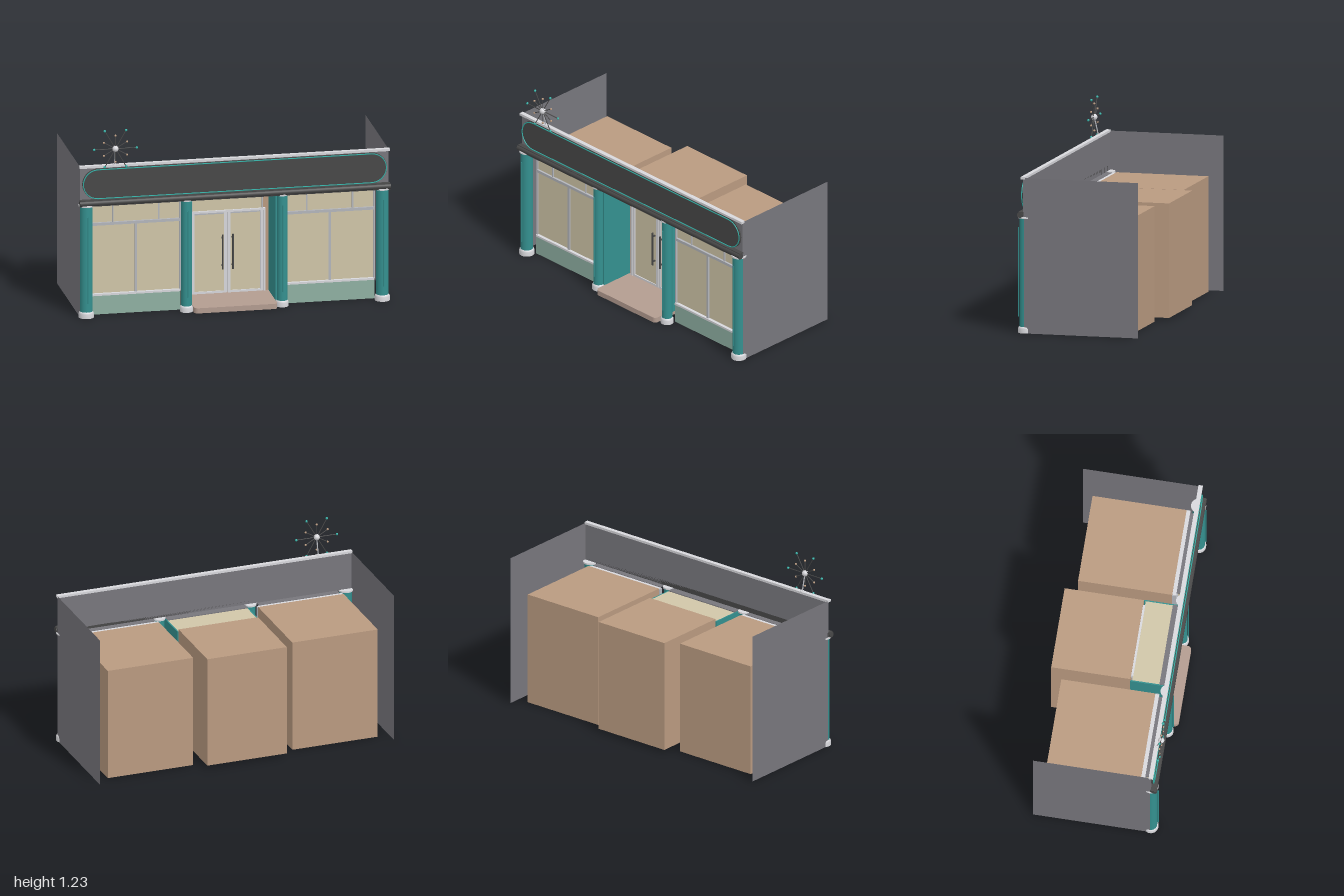
import * as THREE from 'three';

const mat = (name, color, side = THREE.FrontSide) => {
  const m = new THREE.MeshStandardMaterial({ color, side });
  m.name = name;
  return m;
};

export function createModel() {
  const gray = mat('wall gray', 0x77767c, THREE.DoubleSide);
  const dark = mat('sign charcoal', 0x484848);
  const teal = mat('column teal', 0x34908f);
  const green = mat('panel green', 0x8fb0a2);
  const cream = mat('glass cream', 0xd0c6a8);
  const brown = mat('room brown', 0xb99a80);
  const white = mat('trim white', 0xd8d8dc);
  const stone = mat('step stone', 0xb39c90);
  const neon = mat('neon teal', 0x35b0a6);
  const metal = mat('frame metal', 0xb4b6bc);

  const model = new THREE.Group();
  model.name = 'storefront';

  const add = (parent, name, geometry, material, x = 0, y = 0, z = 0) => {
    const mesh = new THREE.Mesh(geometry, material);
    mesh.name = name;
    mesh.position.set(x, y, z);
    parent.add(mesh);
    return mesh;
  };
  // Box given by its limits on each axis
  const box = (parent, name, material, x0, x1, y0, y1, z0, z1) =>
    add(parent, name, new THREE.BoxGeometry(x1 - x0, y1 - y0, z1 - z0), material,
      (x0 + x1) / 2, (y0 + y1) / 2, (z0 + z1) / 2);
  // Thin rod between two points
  const rod = (parent, name, material, a, b, r) => {
    const dir = b.clone().sub(a);
    const mesh = add(parent, name, new THREE.CylinderGeometry(r, r, dir.length(), 8), material);
    mesh.position.copy(a).add(b).multiplyScalar(0.5);
    mesh.quaternion.setFromUnitVectors(new THREE.Vector3(0, 1, 0), dir.normalize());
    return mesh;
  };
  const group = (name) => {
    const g = new THREE.Group();
    g.name = name;
    model.add(g);
    return g;
  };

  // Side walls, single sheets
  for (const s of [-1, 1]) {
    const wall = add(model, 'sideWall', new THREE.PlaneGeometry(0.745, 0.99), gray, s * 0.99, 0.495, -0.032);
    wall.rotation.y = s * Math.PI / 2;
  }

  // Interior rooms behind the shopfront
  for (const s of [-1, 1]) {
    box(model, 'sideRoom', brown, s * 0.622 - 0.288, s * 0.622 + 0.288, 0.004, 0.74, -0.33, 0.27);
  }
  box(model, 'centreRoom', brown, -0.268, 0.268, 0.02, 0.75, -0.405, 0.1);

  // Parapet, coping and roll moulding
  box(model, 'parapet', gray, -0.99, 0.99, 0.74, 0.985, 0.335, 0.345);
  box(model, 'coping', white, -0.995, 0.995, 0.982, 0.997, 0.332, 0.36);
  box(model, 'mouldingBack', dark, -0.99, 0.99, 0.735, 0.773, 0.335, 0.368);
  const roll = add(model, 'mouldingRoll', new THREE.CylinderGeometry(0.018, 0.018, 1.994, 20), dark, 0, 0.754, 0.367);
  roll.rotation.z = Math.PI / 2;
  for (const y of [0.738, 0.771]) box(model, 'mouldingLip', dark, -0.995, 0.995, y - 0.004, y + 0.004, 0.345, 0.375);

  // Stadium sign board with neon outline
  const signR = 0.1, signX = 0.877, signY = 0.875;
  const board = new THREE.Shape();
  board.moveTo(-signX, -signR);
  board.lineTo(signX, -signR);
  board.absarc(signX, 0, signR, -Math.PI / 2, Math.PI / 2);
  board.lineTo(-signX, signR);
  board.absarc(-signX, 0, signR, Math.PI / 2, Math.PI * 1.5);
  add(model, 'signBoard', new THREE.ExtrudeGeometry(board, { depth: 0.012, bevelEnabled: false, curveSegments: 24 }),
    dark, 0, signY, 0.342);
  const neonPath = new THREE.CurvePath();
  const nr = 0.095;
  const v = (x, y) => new THREE.Vector3(x, y, 0);
  const endArc = (s) => new THREE.CatmullRomCurve3(Array.from({ length: 13 }, (_, i) => {
    const a = s * (-Math.PI / 2 + i * Math.PI / 12);
    return s > 0 ? v(signX + nr * Math.cos(a), nr * Math.sin(a)) : v(-signX - nr * Math.cos(a), nr * Math.sin(a));
  }));
  neonPath.add(new THREE.LineCurve3(v(-signX, -nr), v(signX, -nr)));
  neonPath.add(endArc(1));
  neonPath.add(new THREE.LineCurve3(v(signX, nr), v(-signX, nr)));
  neonPath.add(endArc(-1));
  add(model, 'signNeon', new THREE.TubeGeometry(neonPath, 240, 0.0035, 6, true), neon, 0, signY, 0.36);

  // Columns with bases, caps and neon tubes
  for (const [x, r] of [[-0.95, 0.04], [-0.307, 0.033], [0.307, 0.033], [0.95, 0.04]]) {
    const col = group('column');
    col.position.set(x, 0, 0.34);
    add(col, 'columnShaft', new THREE.CylinderGeometry(r, r, 0.7, 32), teal, 0, 0.383, 0);
    const rb = r + 0.008;
    add(col, 'columnBase', new THREE.LatheGeometry(
      [[0, 0], [rb, 0], [rb, 0], [rb, 0.028], [rb - 0.004, 0.036], [r, 0.04]].map(p => new THREE.Vector2(...p)), 32), white);
    add(col, 'columnCap', new THREE.CylinderGeometry(rb, rb, 0.01, 32), white, 0, 0.736, 0);
    add(col, 'columnNeon', new THREE.CylinderGeometry(0.004, 0.004, 0.57, 8), teal, 0, 0.385, r + 0.006);
  }

  // Display windows, one each side
  for (const s of [-1, 1]) {
    const win = group('displayWindow');
    win.position.x = s * 0.622;
    const w = 0.285;
    box(win, 'bulkhead', green, -w, w, 0, 0.122, 0.27, 0.3);
    box(win, 'sill', white, -w, w, 0.122, 0.135, 0.27, 0.303);
    box(win, 'glass', cream, -w, w, 0.13, 0.73, 0.275, 0.283);
    for (const e of [-1, 1]) box(win, 'jamb', metal, e * w - 0.006, e * w + 0.006, 0.13, 0.735, 0.27, 0.295);
    box(win, 'head', white, -w, w, 0.712, 0.737, 0.27, 0.295);
    box(win, 'transomBar', metal, -w, w, 0.583, 0.601, 0.275, 0.297);
    box(win, 'mullion', metal, -0.007, 0.007, 0.13, 0.585, 0.275, 0.295);
    for (const x of [-0.147, 0, 0.147]) {
      if (x) box(win, 'upperMullion', metal, x - 0.004, x + 0.004, 0.6, 0.715, 0.275, 0.292);
    }
    box(win, 'soffit', gray, -0.27, 0.27, 0.73, 0.74, 0.295, 0.345);
  }

  // Recessed entrance
  const entry = group('entrance');
  for (const s of [-1, 1]) {
    box(entry, 'recessWall', teal, s * 0.272 - 0.004, s * 0.272 + 0.004, 0.03, 0.735, 0.1, 0.33);
    box(entry, 'doorJamb', white, s * 0.238 - 0.007, s * 0.238 + 0.007, 0.035, 0.58, 0.1, 0.118);
  }
  box(entry, 'ceiling', cream, -0.268, 0.268, 0.727, 0.735, 0.112, 0.285);
  box(entry, 'soffit', gray, -0.27, 0.27, 0.73, 0.74, 0.285, 0.345);
  box(entry, 'doorHead', white, -0.245, 0.245, 0.567, 0.58, 0.1, 0.12);
  box(entry, 'transomGlass', cream, -0.225, 0.225, 0.58, 0.71, 0.1, 0.108);
  box(entry, 'transomTop', white, -0.24, 0.24, 0.708, 0.74, 0.1, 0.114);
  for (const s of [-1, 1]) {
    box(entry, 'transomSide', metal, s * 0.226 - 0.004, s * 0.226 + 0.004, 0.58, 0.71, 0.1, 0.113);
    const door = new THREE.Group();
    door.name = 'door';
    door.position.x = s * 0.116;
    entry.add(door);
    box(door, 'doorGlass', cream, -0.11, 0.11, 0.04, 0.567, 0.1, 0.108);
    for (const e of [-1, 1]) box(door, 'doorStile', white, e * 0.105 - 0.009, e * 0.105 + 0.009, 0.038, 0.567, 0.1, 0.115);
    box(door, 'doorBottom', white, -0.11, 0.11, 0.036, 0.05, 0.1, 0.114);
    box(door, 'doorTop', metal, -0.11, 0.11, 0.556, 0.567, 0.1, 0.114);
    add(door, 'doorHandle', new THREE.CylinderGeometry(0.006, 0.006, 0.23, 10), dark, -s * 0.083, 0.31, 0.132);
    for (const y of [0.22, 0.4]) box(door, 'handleMount', dark, -s * 0.083 - 0.004, -s * 0.083 + 0.004, y - 0.004, y + 0.004, 0.11, 0.132);
  }

  // Entrance step with rounded front corners
  const step = new THREE.Shape();
  const c = 0.025;
  step.moveTo(-0.267, -0.1);
  step.lineTo(-0.267, -0.405 + c);
  step.absarc(-0.267 + c, -0.405 + c, c, Math.PI, Math.PI * 1.5);
  step.absarc(0.267 - c, -0.405 + c, c, -Math.PI / 2, 0);
  step.lineTo(0.267, -0.1);
  const stepGeo = new THREE.ExtrudeGeometry(step, { depth: 0.034, bevelEnabled: false, curveSegments: 8 });
  stepGeo.rotateX(-Math.PI / 2);
  add(entry, 'step', stepGeo, stone);

  // Starburst ornament on the parapet
  const star = group('starburst');
  const centre = new THREE.Vector3(-0.77, 1.108, 0.377);
  add(star, 'starCore', new THREE.SphereGeometry(0.02, 20, 14), white, ...centre.toArray());
  for (let i = 0; i < 12; i++) {
    const a = i * Math.PI / 6, long = i % 2 === 0, len = long ? 0.137 : 0.086;
    const tip = centre.clone().add(new THREE.Vector3(Math.cos(a) * len, Math.sin(a) * len, 0));
    rod(star, 'starSpoke', dark, centre, tip, 0.0028);
    add(star, 'starTip', new THREE.SphereGeometry(long ? 0.008 : 0.007, 12, 8), long ? neon : brown, ...tip.toArray());
  }
  rod(star, 'starStrut', metal, centre, new THREE.Vector3(-0.77, 0.985, 0.348), 0.004);
  add(star, 'starFoot', new THREE.CylinderGeometry(0.012, 0.014, 0.012, 14), white, -0.77, 0.995, 0.348);

  return model;
}
